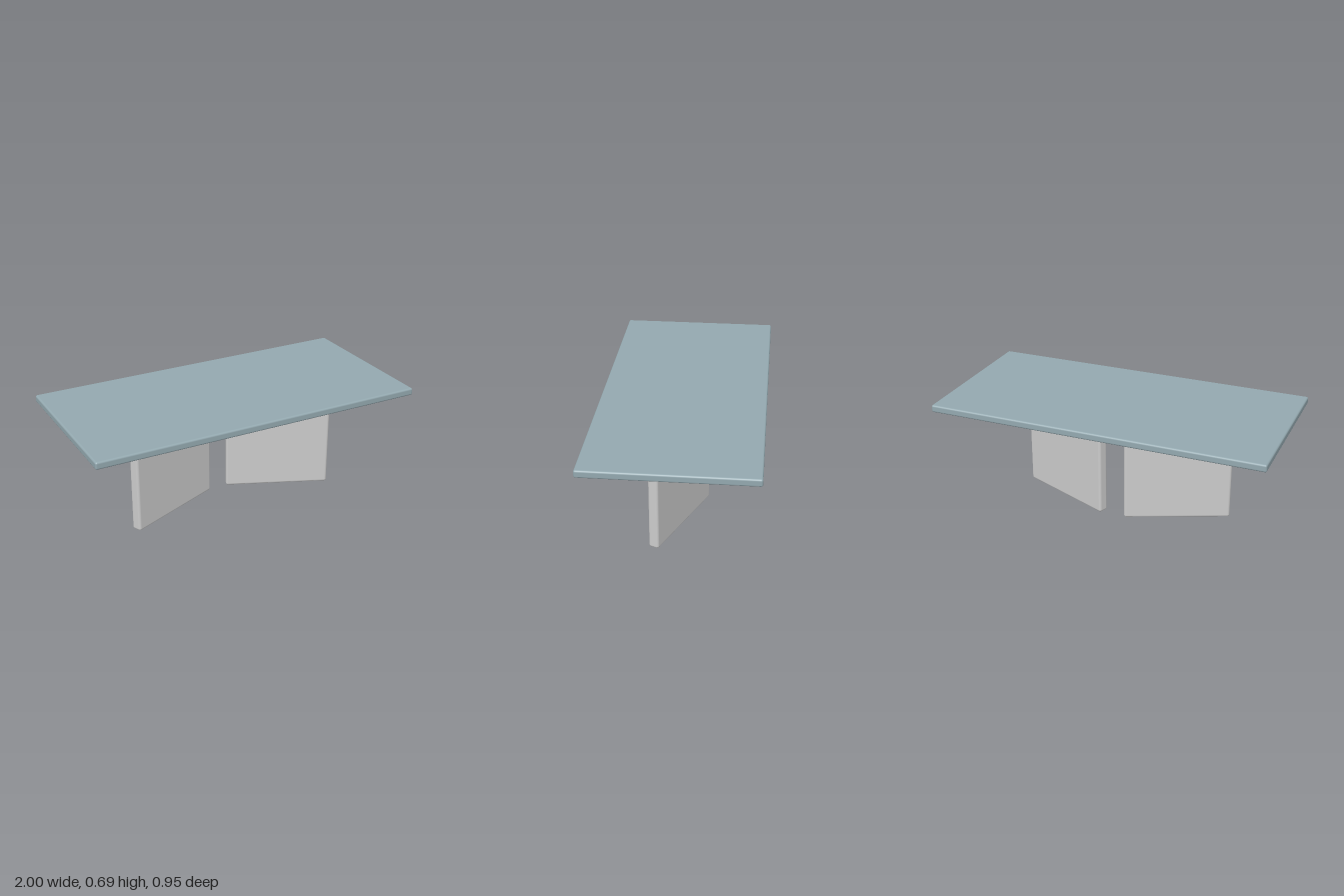
import * as THREE from 'three';
import { RoundedBoxGeometry } from 'three/addons/geometries/RoundedBoxGeometry.js';

export function createModel() {
  const table = new THREE.Group();
  table.name = 'table';
  const topMaterial = new THREE.MeshStandardMaterial({ color: 0x93a8af });
  const legMaterial = new THREE.MeshStandardMaterial({ color: 0xcccccc });

  // Thin softened slab floating just above the legs
  const top = new THREE.Mesh(new RoundedBoxGeometry(2, 0.044, 0.955, 4, 0.011), topMaterial);
  top.name = 'tabletop';
  top.position.y = 0.671;
  table.add(top);

  // Two mirrored panel legs, outer ends swung toward the front
  const legHeight = 0.638;
  const legGeometry = new RoundedBoxGeometry(0.636, legHeight, 0.062, 4, 0.015);
  for (const [side, name] of [[1, 'leftLegPanel'], [-1, 'rightLegPanel']]) {
    const leg = new THREE.Mesh(legGeometry, legMaterial);
    leg.name = name;
    leg.position.set(side * 0.359, legHeight / 2, 0);
    leg.rotation.y = -side * 0.4;
    table.add(leg);
  }
  return table;
}
